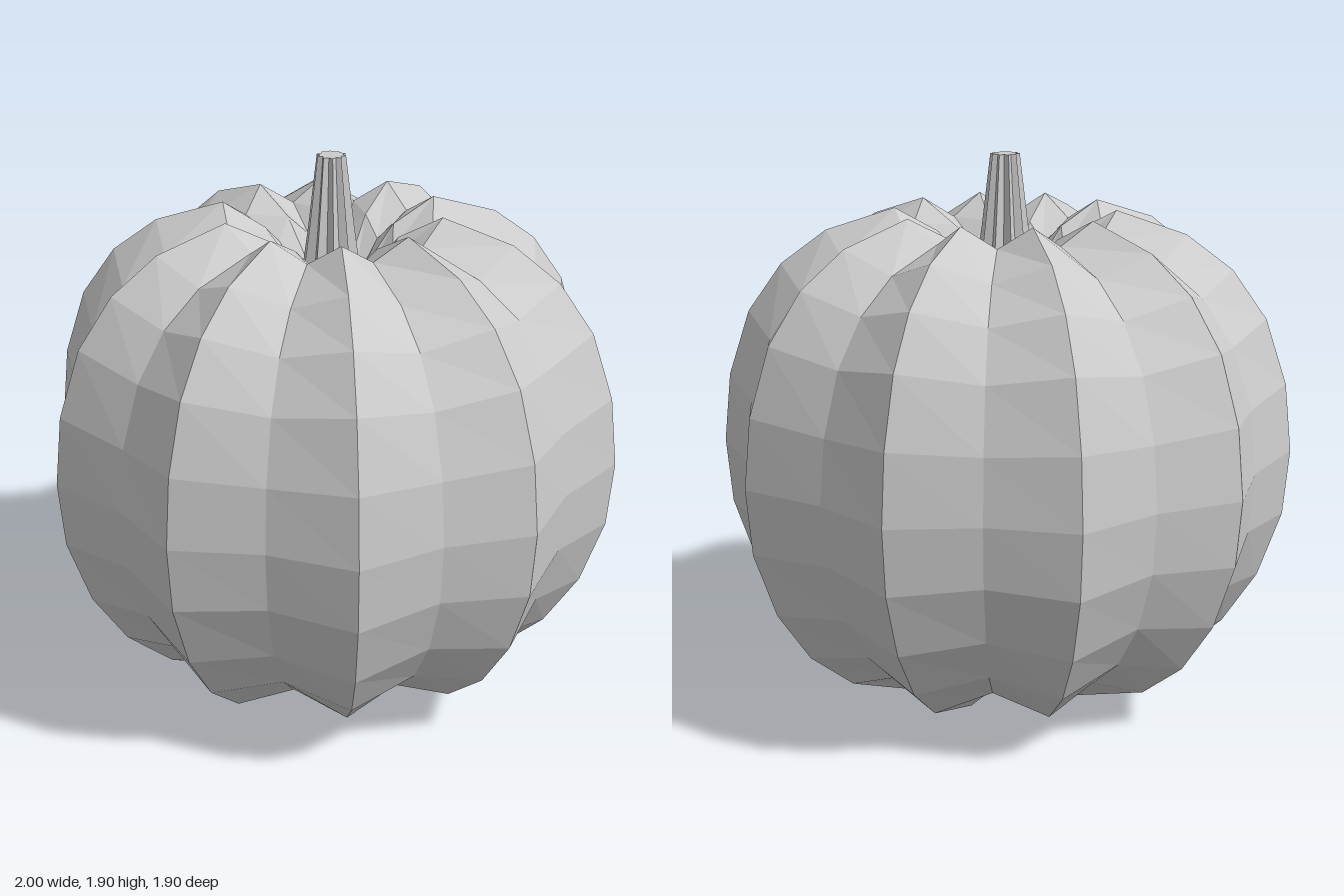
import * as THREE from 'three';

const RIBS = 10;

// Faceted lathe whose every other meridian (the groove) is pulled in
// towards a centre at height cy: by `groove` across and `grooveY` upwards.
function ribbedLathe(profile, groove, grooveY, cy) {
  const points = profile.map(([r, y]) => new THREE.Vector2(r, y));
  const lathe = new THREE.LatheGeometry(points, RIBS * 2);
  const pos = lathe.attributes.position;
  for (let i = 0; i <= RIBS * 2; i += 2) {
    profile.forEach(([r, y], j) => {
      if (r === 0) return;
      const k = i * profile.length + j;
      pos.setXYZ(k, pos.getX(k) * groove, cy + (y - cy) * grooveY, pos.getZ(k) * groove);
    });
  }
  const geometry = lathe.toNonIndexed();
  geometry.computeVertexNormals();
  return geometry;
}

export function createModel() {
  const group = new THREE.Group();
  group.name = 'pumpkin';
  const material = new THREE.MeshStandardMaterial({ color: 0xcccccc, flatShading: true });

  // Ribbed body: hollow underside, round flank, sunken crown
  const body = new THREE.Mesh(ribbedLathe([
    [0, 0.1], [0.31, 0], [0.62, 0.1], [0.78, 0.23], [0.9, 0.41], [0.98, 0.64],
    [1, 0.87], [0.975, 1.11], [0.9, 1.34], [0.78, 1.51], [0.62, 1.63],
    [0.38, 1.71], [0.23, 1.63], [0.11, 1.47], [0, 1.42],
  ], 0.91, 0.91, 0.87), material);
  body.name = 'body';
  group.add(body);

  // Fluted, tapering stem with a flat top
  const stem = new THREE.Mesh(ribbedLathe([
    [0.115, 1.4], [0.08, 1.65], [0.05, 1.9], [0, 1.9],
  ], 0.75, 1, 0), material);
  stem.name = 'stem';
  group.add(stem);

  return group;
}
